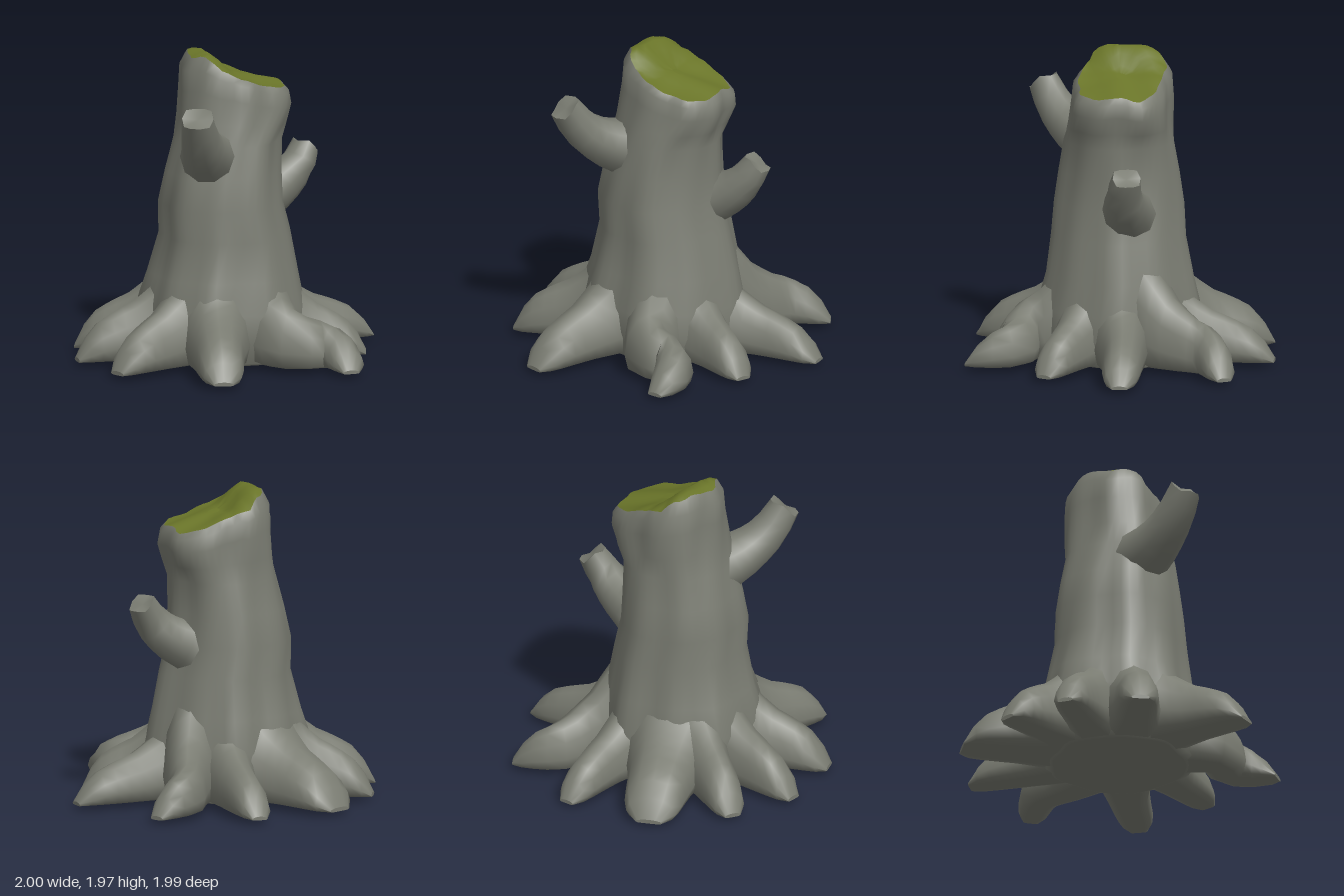
import * as THREE from 'three';

const bark = new THREE.MeshStandardMaterial({ color: 0x7a7c72 });
bark.name = 'greyBark';
const moss = new THREE.MeshStandardMaterial({ color: 0x6a7529 });
moss.name = 'mossGreen';

// Linear lookup in rows [key, v1, v2, ...]; returns the blended row
function lookup(rows, k) {
  let i = 0;
  while (i < rows.length - 2 && k > rows[i + 1][0]) i++;
  const a = rows[i], b = rows[i + 1];
  const t = THREE.MathUtils.clamp((k - a[0]) / (b[0] - a[0]), 0, 1);
  return a.map((v, n) => v + (b[n] - v) * t);
}

// Skin over rings of points (counterclockwise seen from the last ring), with optional end caps
function loft(name, material, rings, startCap, endCap) {
  const n = rings[0].length, pos = [], idx = [];
  const add = p => pos.push(p.x, p.y, p.z) / 3 - 1;
  rings.forEach(r => r.forEach(add));
  for (let i = 0; i < rings.length - 1; i++) {
    for (let j = 0; j < n; j++) {
      const k = (j + 1) % n;
      const a = i * n + j, b = i * n + k, c = b + n, d = a + n;
      idx.push(a, b, c, a, c, d);
    }
  }
  const cap = (ring, centre, flip) => {
    const c = add(centre), ids = ring.map(add);
    ids.forEach((a, j) => {
      const b = ids[(j + 1) % n];
      if (flip) idx.push(c, b, a); else idx.push(c, a, b);
    });
  };
  if (startCap) cap(rings[0], startCap, true);
  if (endCap) cap(rings[rings.length - 1], endCap, false);
  const g = new THREE.BufferGeometry();
  g.setAttribute('position', new THREE.Float32BufferAttribute(pos, 3));
  g.setIndex(idx);
  g.computeVertexNormals();
  const mesh = new THREE.Mesh(g, material);
  mesh.name = name;
  return mesh;
}

// Roots: half width, height factor, ground path [x, z]
const roots = [
  [0.115, 0.95, [[0.05, -0.25], [0.045, -0.6], [0.01, -0.99]]],
  [0.11, 1, [[0.24, -0.24], [0.34, -0.48], [0.4, -0.65], [0.63, -0.81]]],
  [0.19, 1.05, [[-0.2, -0.22], [-0.38, -0.55], [-0.55, -0.84]]],
  [0.12, 1.05, [[-0.3, -0.16], [-0.6, -0.29], [-0.88, -0.42]]],
  [0.115, 1.08, [[-0.3, 0.01], [-0.65, 0.005], [-1, 0.01]]],
  [0.13, 1.05, [[-0.28, 0.18], [-0.58, 0.33], [-0.88, 0.47]]],
  [0.145, 1, [[-0.18, 0.28], [-0.27, 0.65], [-0.34, 0.98]]],
  [0.12, 0.95, [[0.12, 0.28], [0.25, 0.56], [0.46, 0.59], [0.53, 0.72], [0.53, 0.87]]],
  [0.115, 0.95, [[0.25, 0.14], [0.52, 0.22], [0.8, 0.31]]],
  [0.12, 0.9, [[0.25, -0.05], [0.6, -0.15], [0.99, -0.22]]],
];
const rootAngles = roots.map(([, , pts]) => Math.atan2(-pts[1][1], pts[1][0]));

// Slanted broken top of the trunk; the high side rounds off more than the low side
const crest = [[-0.32, 1.91], [-0.24, 1.96], [-0.17, 1.975], [-0.1, 1.92], [-0.03, 1.835], [0.1, 1.795], [0.35, 1.73]];
const rounding = [[-0.12, 1.1], [-0.05, 0.1], [0.05, 0.1], [0.15, 0.45]];
const topY = (x, z) => lookup(crest, x)[1] - lookup(rounding, x)[1] * z * z + 0.008 * Math.sin(23 * z + 9 * x);

// Trunk sections: height, then x min, x max, z min, z max.
// Heights over 2 mean 2 + the fraction of the way from 1.4 to the slanted top.
const sections = [
  [0.018, -0.42, 0.4, -0.4, 0.42], [0.04, -0.48, 0.45, -0.45, 0.47],
  [0.2, -0.53, 0.47, -0.46, 0.5], [0.35, -0.54, 0.45, -0.46, 0.5],
  [0.55, -0.49, 0.42, -0.43, 0.45], [0.8, -0.44, 0.38, -0.4, 0.43],
  [1.0, -0.45, 0.33, -0.385, 0.42], [1.2, -0.41, 0.32, -0.36, 0.39],
  [1.4, -0.36, 0.32, -0.33, 0.355], [2.3, -0.32, 0.34, -0.32, 0.32],
  [2.65, -0.31, 0.38, -0.32, 0.295], [2.9, -0.305, 0.37, -0.31, 0.285],
  [3, -0.26, 0.34, -0.275, 0.25],
];
const SIDES = 48;

function trunkRing([h, x0, x1, z0, z1], scale = 1) {
  const cx = (x0 + x1) / 2, cz = (z0 + z1) / 2;
  const swell = lookup([[0.03, 0.03], [0.3, 0.08], [0.55, 0.04], [0.8, 0]], h)[1];
  return Array.from({ length: SIDES }, (_, j) => {
    const a = j / SIDES * Math.PI * 2, c = Math.cos(a), s = -Math.sin(a);
    const square = h > 2 ? Math.pow(c ** 4 + s ** 4, -0.12) : 1;
    const ridge = 1 + 0.025 * Math.sin(5 * a + h * 1.3) + 0.018 * Math.sin(9 * a - h * 2 + 2);
    const ragged = h === 3 ? 1 + 0.02 * Math.sin(13 * a) : 1;
    // Swell towards each root
    const near = Math.max(...rootAngles.map(b => Math.cos(a - b)));
    const r = square * ridge * ragged * scale * (1 + swell * Math.exp((near - 1) * 30));
    const x = cx + c * r * (x1 - x0) / 2, z = cz + s * r * (z1 - z0) / 2;
    const y = h > 2 ? 1.4 + (h - 2) * (topY(x, z) - 1.4) : h;
    return new THREE.Vector3(x, y, z);
  });
}

// Root with an arched section, flared where it leaves the trunk and pinched at the toe
const rootShape = [ // fraction along, half width factor, height
  [0, 1.7, 0.68], [0.13, 1.6, 0.56], [0.25, 1.42, 0.45], [0.45, 1.15, 0.345],
  [0.65, 1.05, 0.285], [0.8, 0.97, 0.225], [0.91, 0.83, 0.14], [1, 0.45, 0.025],
];
function root(name, [width, tall, pts]) {
  const curve = new THREE.CatmullRomCurve3(pts.map(([x, z]) => new THREE.Vector3(x, 0.025, z)));
  const up = new THREE.Vector3(0, 1, 0);
  const rings = [0, 0.13, 0.25, 0.36, 0.47, 0.58, 0.69, 0.8, 0.91, 1].map(t => {
    const [, w, h] = lookup(rootShape, t);
    const p = curve.getPointAt(t), side = up.clone().cross(curve.getTangentAt(t)).normalize();
    return Array.from({ length: 12 }, (_, j) => {
      const a = j / 12 * Math.PI * 2, s = Math.sin(a);
      const y = s > 0 ? 0.3 + 0.7 * s : 0.3 * (1 + Math.max(s * 1.6, -1));
      const q = p.clone().addScaledVector(side, Math.cos(a) * w * width);
      q.y += y * h * tall;
      return q;
    });
  });
  const end = curve.getPointAt(1);
  end.y += 0.015;
  return loft(name, bark, rings, null, end);
}

// Broken branch stub: centre line points and radii at its base, middle and end
function branch(name, pts, radii) {
  const curve = new THREE.CatmullRomCurve3(pts.map(p => new THREE.Vector3(...p)));
  const rings = [0, 0.15, 0.3, 0.45, 0.6, 0.8, 1].map(t => {
    const p = curve.getPointAt(t), dir = curve.getTangentAt(t);
    const side = new THREE.Vector3(0, 1, 0).cross(dir).normalize();
    const up = dir.clone().cross(side);
    const r = lookup([[0, radii[0]], [0.5, radii[1]], [1, radii[2]]], t)[1];
    return Array.from({ length: 10 }, (_, j) => {
      const a = j / 10 * Math.PI * 2;
      return p.clone().addScaledVector(side, Math.cos(a) * r).addScaledVector(up, Math.sin(a) * r)
        .addScaledVector(dir, t === 1 ? 0.015 * Math.sin(3 * a) : 0);
    });
  });
  const end = curve.getPointAt(1).addScaledVector(curve.getTangentAt(1), -0.01);
  return loft(name, bark, rings, null, end);
}

export function createModel() {
  const model = new THREE.Group();
  model.name = 'treeStump';

  // Trunk with a slightly bulging underside
  model.add(loft('trunk', bark, sections.map(s => trunkRing(s)), new THREE.Vector3(0, 0, 0), null));

  // Moss over the broken top
  const rim = sections[sections.length - 1];
  const mossRings = [1, 0.88, 0.7, 0.5, 0.3, 0.12].map(s => trunkRing(rim, s));
  model.add(loft('mossTop', moss, mossRings, null, new THREE.Vector3(0.04, topY(0.04, -0.01), -0.01)));

  // Spreading roots
  roots.forEach((r, i) => model.add(root('root' + (i + 1), r)));

  // Branch stubs
  model.add(branch('rightBranch',
    [[-0.19, 1.32, 0.2], [-0.27, 1.39, 0.36], [-0.34, 1.5, 0.49], [-0.39, 1.66, 0.59]], [0.19, 0.135, 0.1]));
  model.add(branch('leftBranch',
    [[0.2, 0.97, -0.1], [0.36, 1.05, -0.115], [0.48, 1.16, -0.13], [0.55, 1.28, -0.165]], [0.18, 0.13, 0.09]));
  return model;
}
